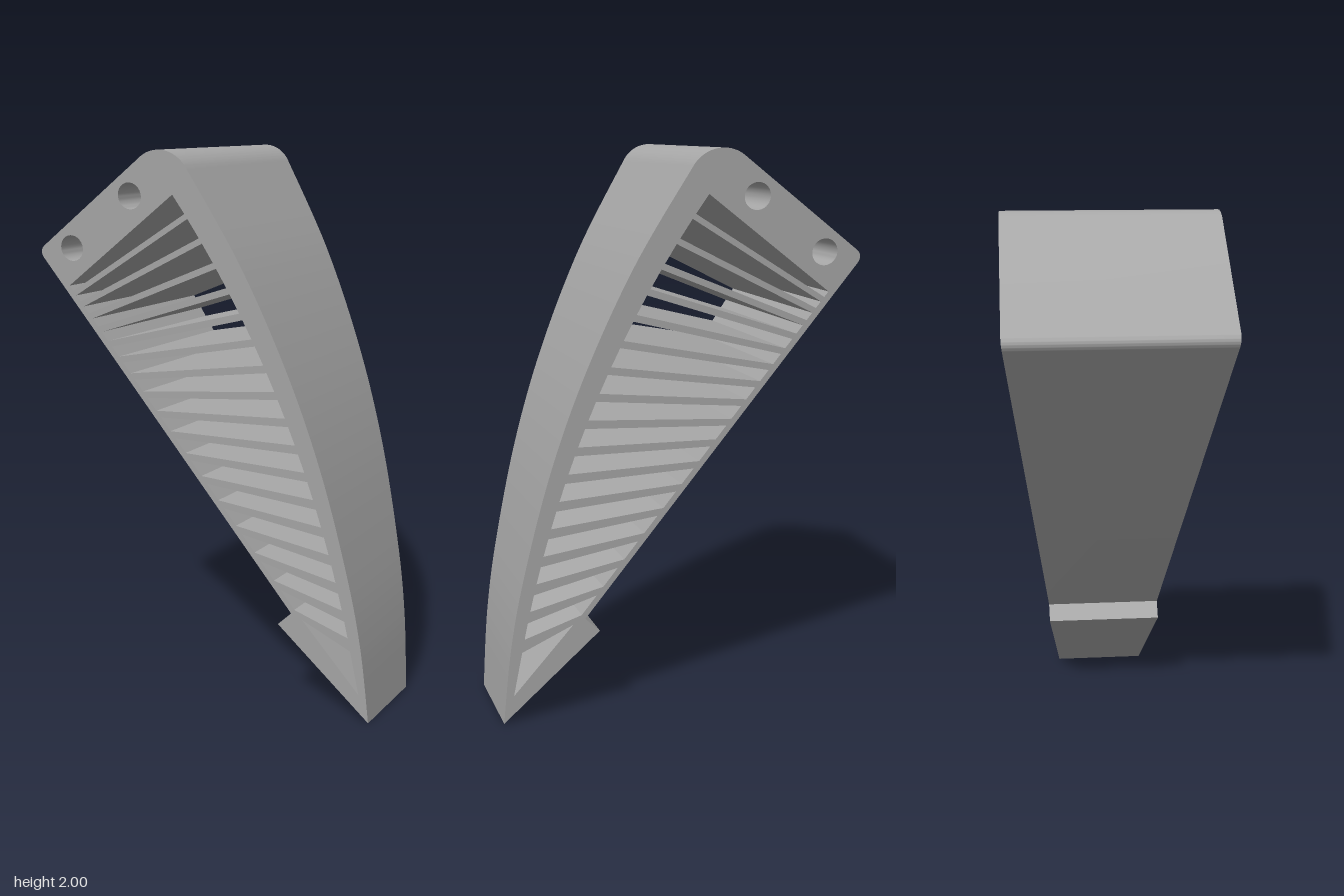
import * as THREE from 'three';
import { toCreasedNormals } from 'three/addons/utils/BufferGeometryUtils.js';

const RIBS = 17;

// closed polygon hole from [s, t] points
function polygon(points) {
  return new THREE.Path(points.map(([s, t]) => new THREE.Vector2(s, t)).concat(new THREE.Vector2(...points[0])));
}

// side profile: s runs across the wide end, t runs from the wide end to the tip
function finProfile() {
  const v = (s, t) => new THREE.Vector2(s, t);
  const shape = new THREE.Shape();
  shape.moveTo(0, 0.015);
  shape.quadraticCurveTo(0, -0.02, 0.035, -0.02);
  shape.lineTo(0.56, -0.02);
  shape.absarc(0.56, 0.1, 0.12, -Math.PI / 2, 0.08, false);
  shape.splineThru([v(0.635, 0.484), v(0.547, 0.866), v(0.432, 1.211), v(0.28, 1.56), v(0.155, 1.8), v(0.005, 2.04)]);
  // hooked step near the tip
  shape.lineTo(-0.072, 1.574);
  shape.lineTo(0.002, 1.565);
  shape.closePath();

  // two bolt holes through the wide end
  for (const s of [0.123, 0.439]) {
    const hole = new THREE.Path();
    hole.absarc(s, 0.055, 0.046, 0, Math.PI * 2, true);
    shape.holes.push(hole);
  }

  // slots that fan out between the ribs
  const inner = (t) => 0.582 - 0.146 * t * t;
  const left = (f) => 0.15 + 1.45 * (0.47 * f + 0.53 * f * f);
  const right = (f) => 0.15 + 1.63 * f;
  for (let i = 0; i < RIBS; i++) {
    const a = i / RIBS, b = (i + 1) / RIBS;
    const rib = 0.018 + 0.022 * b;
    const r0 = right(a), r1 = right(b) - rib;
    shape.holes.push(polygon([[0.022, left(a)], [inner(r0), r0], [inner(r1), r1], [0.022, left(b) - rib]]));
  }
  // last triangular slot at the tip
  shape.holes.push(polygon([[0.025, 1.605], [inner(1.785), 1.785], [0.04, 1.935]]));
  return shape;
}

export function createModel() {
  const grey = new THREE.MeshStandardMaterial({ color: 0xa8a8a8 });
  grey.name = 'plain grey';

  const geometry = new THREE.ExtrudeGeometry(finProfile(), { depth: 1, bevelEnabled: false, curveSegments: 16 });

  // taper the thickness towards the tip, then tilt and turn the fin into place
  const tilt = [0.795, 0.606], turn = [0.971, 0.238];
  const pos = geometry.attributes.position;
  for (let i = 0; i < pos.count; i++) {
    const s = pos.getX(i), t = pos.getY(i);
    const half = 0.378 - 0.0995 * t;
    const w = -0.069 + half * (1 - 2 * pos.getZ(i));
    const u = -0.579 + tilt[0] * s + tilt[1] * t;
    const y = 1.62 + tilt[1] * s - tilt[0] * t;
    pos.setXYZ(i, turn[0] * u + turn[1] * w, y, turn[0] * w - turn[1] * u);
  }

  const fin = new THREE.Mesh(toCreasedNormals(geometry, 0.45), grey);
  fin.name = 'ribbedFin';

  // stand on the ground, centred
  const box = new THREE.Box3().setFromObject(fin);
  const c = box.getCenter(new THREE.Vector3());
  fin.position.set(-c.x, -box.min.y, -c.z);

  const group = new THREE.Group();
  group.name = 'ribbedFinger';
  group.add(fin);
  return group;
}
